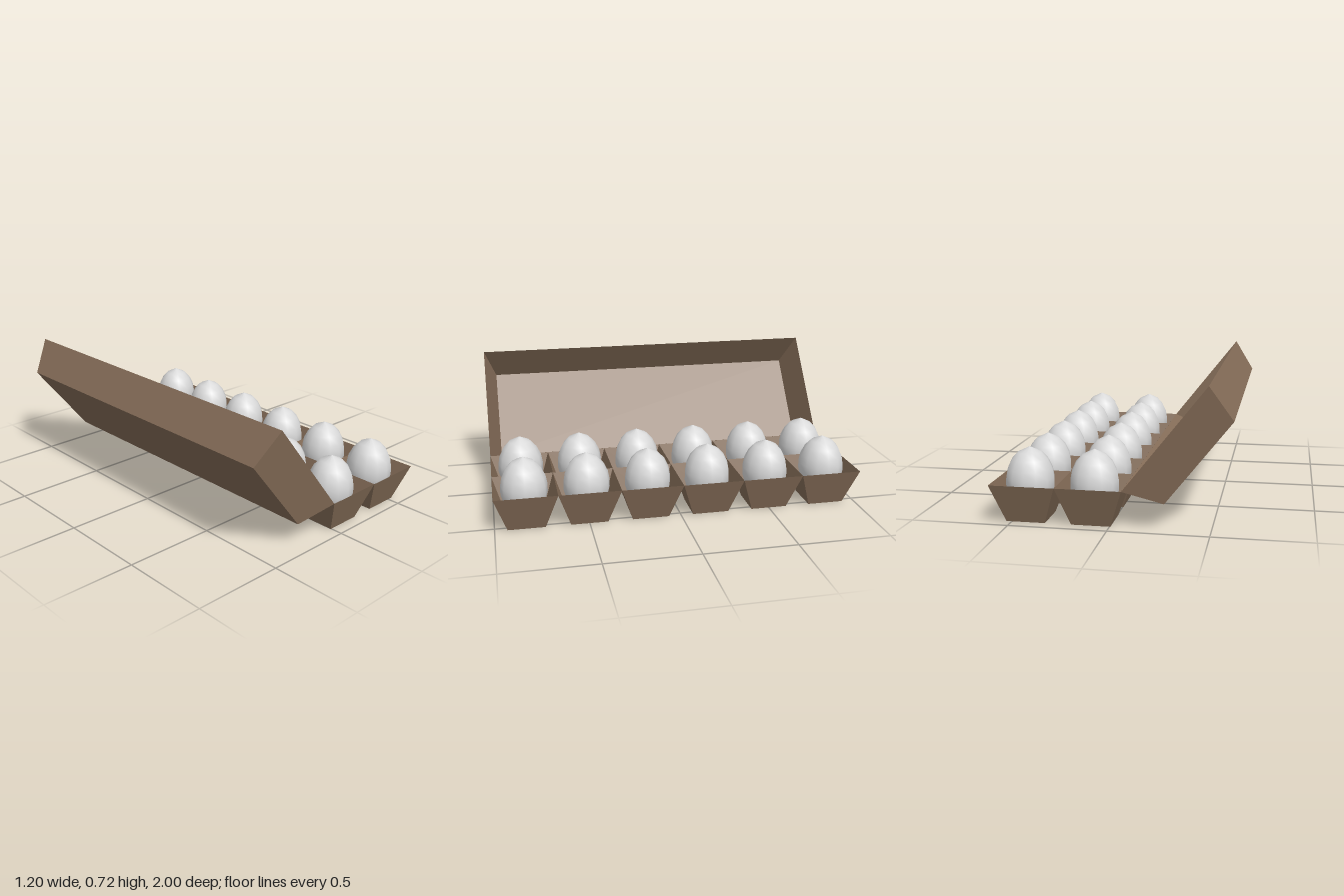
import * as THREE from 'three';

const PITCH = 1 / 3;   // spacing of the egg cups
const DEPTH = 0.2;     // depth of cups and lid
const INSET = 0.067;   // how far the walls lean in at the floor

// Thin open tray: rim at y = DEPTH, smaller floor at y = 0, leaning walls
function openTray(width, length) {
  const ring = (hx, hz, y) => [[-hx, y, hz], [hx, y, hz], [hx, y, -hz], [-hx, y, -hz]];
  const rim = ring(width / 2, length / 2, DEPTH);
  const floor = ring(width / 2 - INSET, length / 2 - INSET, 0);
  const positions = [];
  const quad = (a, b, c, d) => positions.push(...a, ...b, ...c, ...a, ...c, ...d);
  for (let i = 0; i < 4; i++) {
    const j = (i + 1) % 4;
    quad(floor[i], floor[j], rim[j], rim[i]);
  }
  quad(floor[3], floor[2], floor[1], floor[0]);
  const geometry = new THREE.BufferGeometry();
  geometry.setAttribute('position', new THREE.Float32BufferAttribute(positions, 3));
  geometry.computeVertexNormals();
  return geometry;
}

export function createModel() {
  const model = new THREE.Group();
  model.name = 'eggCarton';

  const cardboard = new THREE.MeshStandardMaterial({ color: 0x856d58, side: THREE.DoubleSide, flatShading: true });
  cardboard.name = 'brown cardboard';
  const shell = new THREE.MeshStandardMaterial({ color: 0xd8d8d8 });
  shell.name = 'white eggshell';

  // Egg profile, blunt end down
  const profile = [
    [0, 0.04], [0.065, 0.058], [0.108, 0.102], [0.125, 0.165], [0.124, 0.21],
    [0.116, 0.255], [0.093, 0.303], [0.06, 0.339], [0, 0.367],
  ].map(([r, y]) => new THREE.Vector2(r, y));
  const eggGeometry = new THREE.LatheGeometry(profile, 12);
  const cupGeometry = openTray(PITCH, PITCH);

  const add = (parent, geometry, material, name, x, y, z) => {
    const mesh = new THREE.Mesh(geometry, material);
    mesh.name = name;
    mesh.position.set(x, y, z);
    parent.add(mesh);
    return mesh;
  };

  // Two columns of six cups, each holding an egg
  const base = new THREE.Group();
  base.name = 'base';
  const eggs = new THREE.Group();
  eggs.name = 'eggs';
  model.add(base, eggs);
  for (let column = 0; column < 2; column++) {
    for (let row = 0; row < 6; row++) {
      const x = 0.095 + column * PITCH;
      const z = (row - 2.5) * PITCH;
      add(base, cupGeometry, cardboard, 'cup', x, 0, z);
      add(eggs, eggGeometry, shell, 'egg', x, 0, z);
    }
  }

  // Lid swung open about the hinge on the base rim
  const hinge = new THREE.Group();
  hinge.name = 'lidHinge';
  hinge.position.set(-0.072, DEPTH, 0);
  hinge.rotation.z = -0.902;
  add(hinge, openTray(2 * PITCH, 2), cardboard, 'lid', -PITCH, -DEPTH, 0);
  model.add(hinge);

  return model;
}
